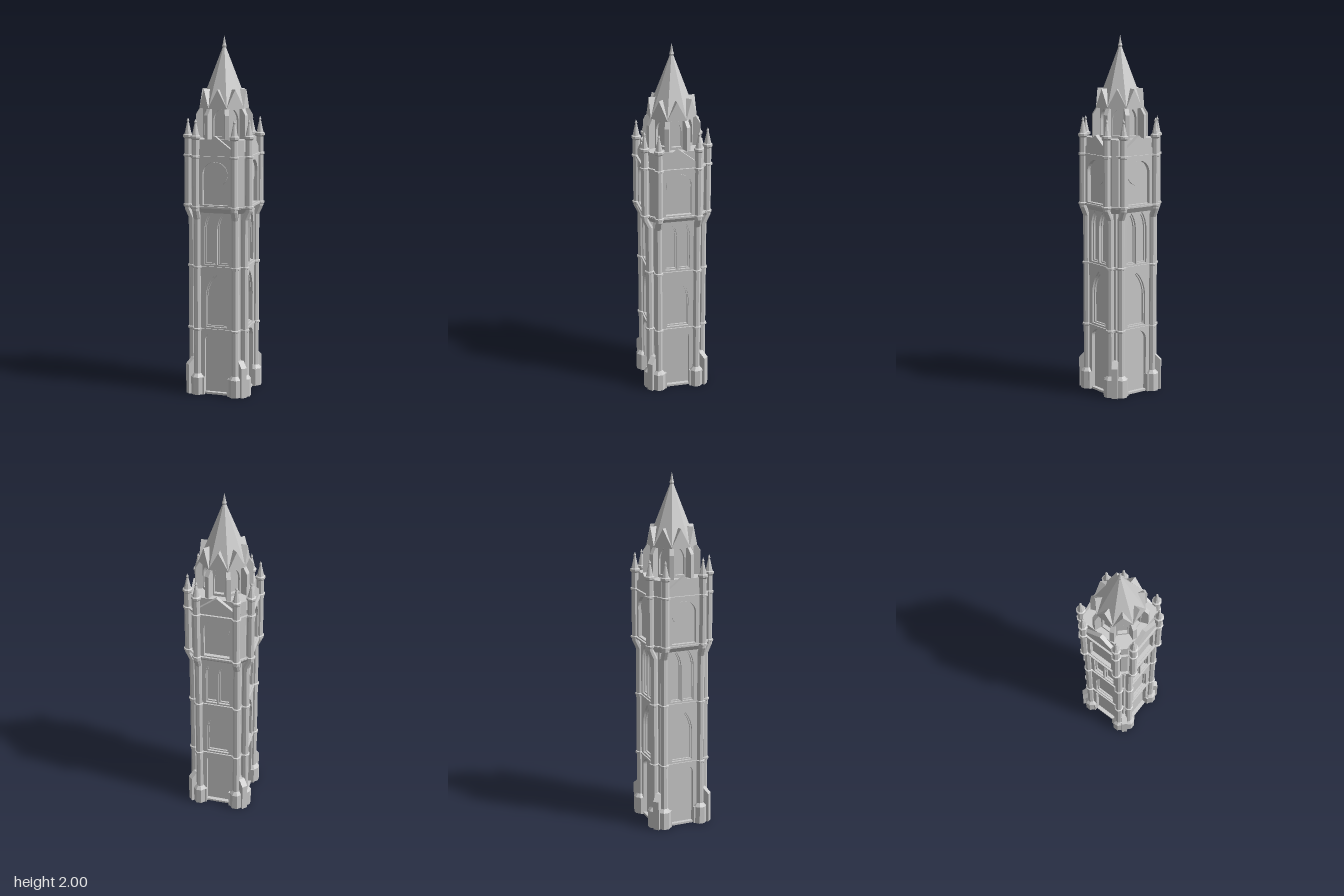
import * as THREE from 'three';

const stone = new THREE.MeshStandardMaterial({ color: 0xcccccc, flatShading: true });
const V = (x, y) => new THREE.Vector2(x, y);

function add(parent, name, geometry) {
  const mesh = new THREE.Mesh(geometry, stone);
  mesh.name = name;
  parent.add(mesh);
  return mesh;
}

// Run a builder for a number of sides placed around the vertical axis
function around(parent, name, count, start, build) {
  for (let i = 0; i < count; i++) {
    const side = new THREE.Group();
    side.name = name;
    side.rotation.y = start + (i * 2 * Math.PI) / count;
    build(side);
    parent.add(side);
  }
}

// Square block with chamfered corners; the top can be scaled for a flare
function chamferedBlock(h, c, y0, y1, topScale = 1) {
  const outline = [[h, -c], [h, c], [c, h], [-c, h], [-h, c], [-h, -c], [-c, -h], [c, -h]];
  const geo = new THREE.ExtrudeGeometry(new THREE.Shape(outline.map(p => V(...p))),
    { depth: y1 - y0, bevelEnabled: false });
  geo.rotateX(-Math.PI / 2).translate(0, y0, 0);
  const p = geo.attributes.position;
  for (let i = 0; i < p.count; i++) {
    if (p.getY(i) > (y0 + y1) / 2) p.setXYZ(i, p.getX(i) * topScale, p.getY(i), p.getZ(i) * topScale);
  }
  return geo;
}

// Arched opening: half-width w, sill y0, springing ys, crown y1
function arch(x, w, y0, ys, y1, pointed) {
  const s = new THREE.Path();
  s.moveTo(x - w, y0).lineTo(x + w, y0).lineTo(x + w, ys);
  if (pointed) {
    const yc = ys + (y1 - ys) * 0.62;
    s.quadraticCurveTo(x + w * 0.92, yc, x, y1);
    s.quadraticCurveTo(x - w * 0.92, yc, x - w, ys);
  } else {
    s.absellipse(x, ys, w, y1 - ys, 0, Math.PI, false);
  }
  s.closePath();
  return s;
}

// Upright wall slab from z0 to z1, with an optional gable peak and openings
function wall(w, y0, y1, z0, z1, holes = [], peak = y1) {
  const pts = [V(-w, y0), V(w, y0), V(w, y1)];
  if (peak > y1) pts.push(V(0, peak));
  pts.push(V(-w, y1));
  const shape = new THREE.Shape(pts);
  shape.holes.push(...holes);
  return new THREE.ExtrudeGeometry(shape, { depth: z1 - z0, bevelEnabled: false, curveSegments: 10 })
    .translate(0, 0, z0);
}

// Octagonal lathe with flat sides facing the axes
function octLathe(points) {
  return new THREE.LatheGeometry(points.map(([r, y]) => V(r / Math.cos(Math.PI / 8), y)), 8, Math.PI / 8);
}

// Corner turret: base, ringed shaft, outward step and pinnacle
function turretGeometry() {
  const pts = [[0, 0], [0.035, 0], [0.035, 0.1], [0.019, 0.12]];
  for (const y of [0.375, 0.73, 1.07, 1.347]) {
    if (y === 1.07) pts.push([0.019, 1.0], [0.019, 1.05]);
    pts.push([0.019, y - 0.008], [0.025, y - 0.005], [0.025, y + 0.005], [0.019, y + 0.008]);
  }
  pts.push([0.019, 1.44], [0.025, 1.448], [0.025, 1.46], [0.018, 1.465],
    [0.005, 1.53], [0.007, 1.537], [0, 1.555]);
  const geo = octLathe(pts);
  const p = geo.attributes.position;
  for (let i = 0; i < p.count; i++) {
    const t = THREE.MathUtils.clamp((p.getY(i) - 1.0) / 0.05, 0, 1);
    p.setZ(i, p.getZ(i) + 0.152 + 0.023 * t);
  }
  return geo;
}

// Diagonal corner buttress with a sloping top
function buttressGeometry() {
  const profile = new THREE.Shape([V(0.15, 0), V(0.235, 0), V(0.235, 0.17), V(0.2, 0.205), V(0.15, 0.205)]);
  return new THREE.ExtrudeGeometry(profile, { depth: 0.034, bevelEnabled: false })
    .translate(0, 0, -0.017).rotateY(-Math.PI / 2);
}

// Lantern pier with a sloping top
function pierGeometry() {
  const profile = new THREE.Shape([V(0.1, 1.44), V(0.157, 1.44), V(0.157, 1.57), V(0.135, 1.605), V(0.1, 1.605)]);
  return new THREE.ExtrudeGeometry(profile, { depth: 0.024, bevelEnabled: false })
    .translate(0, 0, -0.012).rotateY(-Math.PI / 2);
}

export function createModel() {
  const tower = new THREE.Group();
  tower.name = 'clockTower';

  // Solid core, flare and string courses
  add(tower, 'lowerCore', chamferedBlock(0.128, 0.125, 0, 1.07));
  add(tower, 'upperCore', chamferedBlock(0.15, 0.125, 1.07, 1.44));
  add(tower, 'corbel', chamferedBlock(0.15, 0.11, 1.035, 1.07, 1.14));
  for (const y of [0.375, 0.73]) add(tower, 'stringCourse', chamferedBlock(0.158, 0.11, y - 0.005, y + 0.005));
  for (const y of [1.07, 1.347]) add(tower, 'stringCourse', chamferedBlock(0.183, 0.11, y - 0.005, y + 0.005));

  // Four identical faces
  const turret = turretGeometry();
  around(tower, 'towerFace', 4, 0, side => {
    add(side, 'doorStage', wall(0.11, 0, 0.375, 0.12, 0.15, [arch(0, 0.068, 0.012, 0.31, 0.362, false)]));
    const stages = [
      ['windowStage', 0.375, 0.73, d => [arch(0, 0.062 - d, 0.39 + d, 0.56, 0.695 - d * 1.5, true)]],
      ['lancetStage', 0.73, 1.07, d => [-1, 1].map(s =>
        arch(s * 0.037, 0.032 - d, 0.745 + d, 0.94, 1.032 - d * 1.5, true))],
    ];
    for (const [name, y0, y1, holes] of stages) {
      add(side, name, wall(0.11, y0, y1, 0.138, 0.15, holes(0)));
      add(side, name + 'Inner', wall(0.11, y0, y1, 0.12, 0.138, holes(0.007)));
    }
    add(side, 'clockStage', wall(0.11, 1.07, 1.375, 0.148, 0.172,
      [arch(0, 0.072, 1.082, 1.25, 1.322, false)], 1.46));
    add(side, 'clockFace', new THREE.CylinderGeometry(0.066, 0.066, 0.008, 32)
      .rotateX(Math.PI / 2).translate(0, 1.25, 0.153));
    for (const s of [-1, 1]) {
      add(side, 'plinth', new THREE.BoxGeometry(0.035, 0.1, 0.035).translate(s * 0.085, 0.05, 0.15));
      add(side, 'turret', turret).position.x = s * 0.11;
    }
  });

  // Diagonal corner buttresses
  const buttress = buttressGeometry();
  around(tower, 'corner', 4, Math.PI / 4, side => add(side, 'cornerButtress', buttress));

  // Octagonal lantern with gabled sides
  add(tower, 'lanternCore', octLathe([[0, 1.43], [0.095, 1.43], [0.095, 1.62], [0, 1.62]]));
  around(tower, 'lanternSide', 8, 0, side => {
    add(side, 'lanternWall', wall(0.047, 1.44, 1.61, 0.09, 0.114,
      [arch(0, 0.027, 1.455, 1.54, 1.6, true)]));
    add(side, 'lanternGable', wall(0.0525, 1.604, 1.61, 0.04, 0.127, [], 1.71));
  });
  const pier = pierGeometry();
  around(tower, 'lanternCorner', 8, Math.PI / 8, side => add(side, 'lanternPier', pier));

  // Spire and finial
  add(tower, 'spire', new THREE.ConeGeometry(0.1375, 0.355, 8, 1, false, Math.PI / 8).translate(0, 1.7825, 0));
  add(tower, 'finial', octLathe([[0, 1.93], [0.008, 1.93], [0.012, 1.944], [0.008, 1.955], [0.004, 1.98], [0, 2]]));
  return tower;
}
